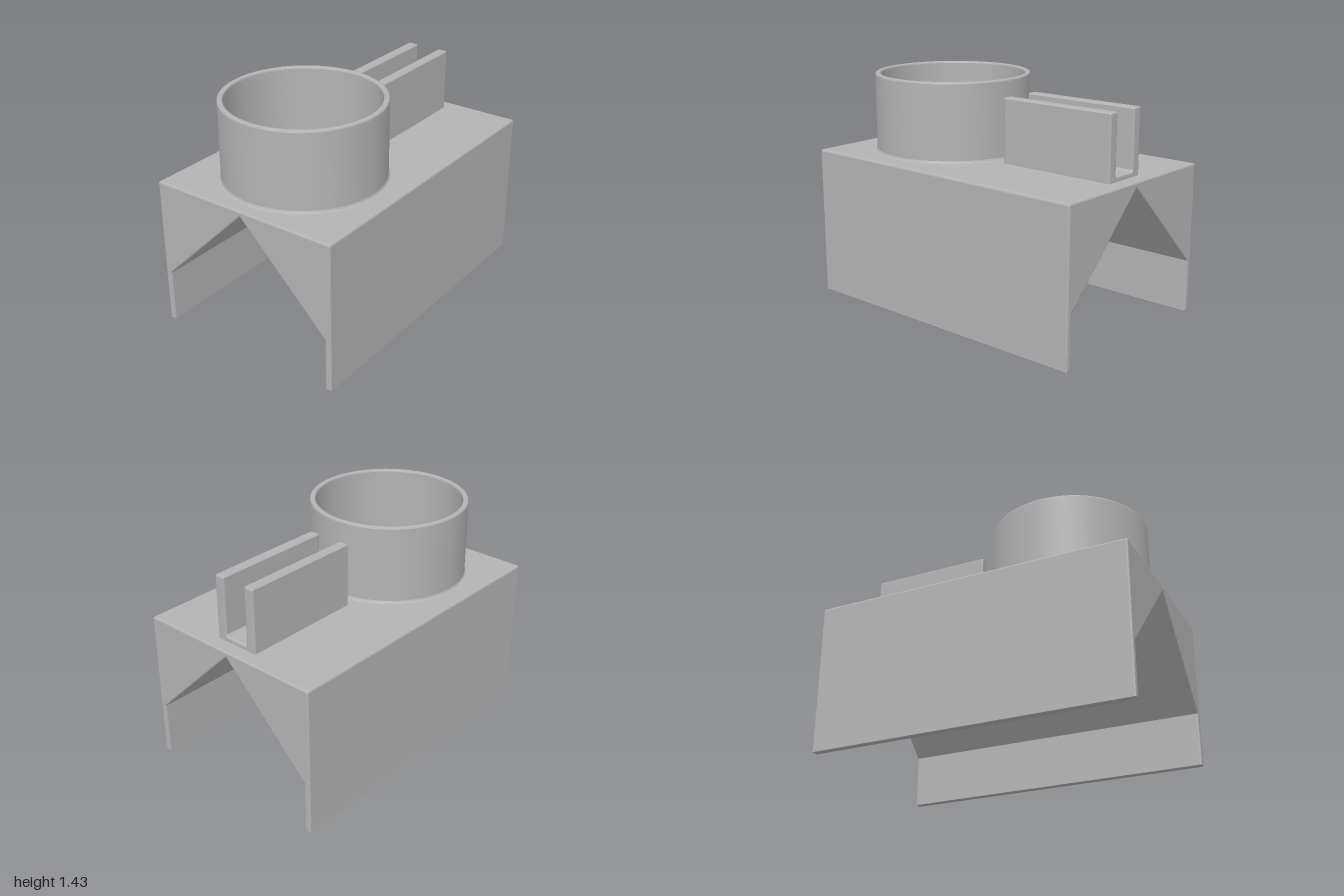
import * as THREE from 'three';
import { toCreasedNormals } from 'three/addons/utils/BufferGeometryUtils.js';

const W = 0.62, TOP = 0.945, INNER = 0.58, EAVE = 0.335, RIDGE = 0.91;
const BEVEL = 0.01, HALF = 1 - BEVEL, CHAMFER = 0.012;
const CUP_Z = 0.417, HOLE_R = 0.037, PITCH = 0.245;
const ridgeHoles = [CUP_Z + PITCH, CUP_Z, CUP_Z - PITCH];
const sideHoles = [-PITCH, PITCH];

// height of the sloped underside at a given x
const slopeY = (x) => RIDGE - Math.abs(x) * (RIDGE - EAVE) / INNER;

const polygon = (pts) => new THREE.Shape(pts.map(([x, y]) => new THREE.Vector2(x, y)));

// half outline plus its mirror image
const mirrored = (half) => [...half, ...half.slice().reverse().map(([x, y]) => [-x, y])];

// extrusion along z with small bevels that stay inside the outline
function bevelExtrude(shape, z0, z1) {
  const g = new THREE.ExtrudeGeometry(shape, {
    depth: z1 - z0 - 2 * BEVEL, bevelEnabled: true, bevelThickness: BEVEL,
    bevelSize: BEVEL, bevelOffset: -BEVEL, bevelSegments: 2,
  });
  g.translate(0, 0, z0 + BEVEL);
  return g;
}

function circlePath(x, y) {
  return new THREE.Path().absarc(x, y, HOLE_R, 0, Math.PI * 2, true);
}

// body shell; its top and sloped walls are left open for the drilled panels
function bodyGeometry() {
  const outline = mirrored([
    [INNER, EAVE], [INNER, 0.004], [INNER + 0.004, 0], [W - 0.004, 0], [W, 0.004],
    [W, TOP - CHAMFER], [W - CHAMFER * 0.3, TOP - CHAMFER * 0.3], [W - CHAMFER, TOP],
  ]);
  outline.push([0, RIDGE]);
  const p = bevelExtrude(polygon(outline), -1, 1).toNonIndexed?.call
    ? bevelExtrude(polygon(outline), -1, 1).getAttribute('position') : null;
  const kept = [];
  for (let i = 0; i < p.count; i += 3) {
    const z = [0, 1, 2].map((k) => p.getZ(i + k));
    const x = (p.getX(i) + p.getX(i + 1) + p.getX(i + 2)) / 3;
    const isLong = Math.max(...z) - Math.min(...z) > 1;
    if (isLong && Math.abs(x) < 0.57) continue;
    for (let k = 0; k < 3; k++) kept.push(p.getX(i + k), p.getY(i + k), p.getZ(i + k));
  }
  const g = new THREE.BufferGeometry();
  g.setAttribute('position', new THREE.Float32BufferAttribute(kept, 3));
  g.computeVertexNormals();
  return g;
}

// flat top with five drain holes
function topGeometry() {
  const x = W - CHAMFER;
  const shape = polygon([[-x, -HALF], [x, -HALF], [x, HALF], [-x, HALF]]);
  for (const z of ridgeHoles) shape.holes.push(circlePath(0, -z));
  for (const hx of sideHoles) shape.holes.push(circlePath(hx, -CUP_Z));
  return new THREE.ShapeGeometry(shape, 16).rotateX(-Math.PI / 2).translate(0, TOP, 0);
}

// one sloped underside, notched along the ridge by the centre holes
function slopeGeometry(side) {
  const shape = new THREE.Shape();
  shape.moveTo(0, -HALF);
  shape.lineTo(side * INNER, -HALF);
  shape.lineTo(side * INNER, HALF);
  shape.lineTo(0, HALF);
  for (const z of ridgeHoles) {
    shape.lineTo(0, z + HOLE_R);
    shape.absarc(0, z, HOLE_R, Math.PI / 2, side > 0 ? -Math.PI / 2 : Math.PI * 1.5, side > 0);
  }
  shape.lineTo(0, -HALF);
  shape.holes.push(circlePath(side * PITCH, CUP_Z));
  const g = new THREE.ShapeGeometry(shape, 16).rotateX(Math.PI / 2);
  const p = g.getAttribute('position');
  for (let i = 0; i < p.count; i++) p.setY(i, slopeY(p.getX(i)));
  g.computeVertexNormals();
  return g;
}

// wall of a vertical hole, cut to the slope at its lower end
function boreGeometry(x, z) {
  const g = new THREE.CylinderGeometry(HOLE_R, HOLE_R, 1, 32, 1, true).translate(x, 0, z);
  const p = g.getAttribute('position');
  for (let i = 0; i < p.count; i++) p.setY(i, p.getY(i) > 0 ? TOP : slopeY(p.getX(i)));
  return g;
}

// round cup wall with a soft rim and foot
function cupGeometry() {
  const profile = [
    [0.505, 0.944], [0.495, 0.949], [0.49, 0.96], [0.49, 1.424], [0.487, 1.432], [0.479, 1.435],
    [0.466, 1.435], [0.458, 1.432], [0.455, 1.424], [0.455, 0.957], [0.452, 0.949], [0.443, 0.944],
  ].map(([r, y]) => new THREE.Vector2(r, y));
  const g = new THREE.LatheGeometry(profile, 96);
  // the profile climbs on the outside, so faces already point outward
  return toCreasedNormals(g, 0.35).translate(0, 0, CUP_Z);
}

// open channel with two upright walls
function channelGeometry() {
  const outline = mirrored([
    [0.145, 0.92], [0.145, 1.337], [0.137, 1.345], [0.088, 1.345], [0.08, 1.337],
    [0.08, 0.985], [0.07, 0.975],
  ]);
  return bevelExtrude(polygon(outline), -0.912, -0.135);
}

export function createModel() {
  const model = new THREE.Group();
  const grey = new THREE.MeshStandardMaterial({ color: 0xb3b3b3, side: THREE.DoubleSide });
  grey.name = 'grey';
  const add = (name, geometry) => {
    const mesh = new THREE.Mesh(geometry, grey);
    mesh.name = name;
    model.add(mesh);
  };

  add('body', bodyGeometry());
  add('topPanel', topGeometry());
  add('leftSlope', slopeGeometry(1));
  add('rightSlope', slopeGeometry(-1));
  for (const z of ridgeHoles) add('drainHole', boreGeometry(0, z));
  for (const x of sideHoles) add('drainHole', boreGeometry(x, CUP_Z));
  add('cupWall', cupGeometry());
  add('channel', channelGeometry());
  return model;
}
